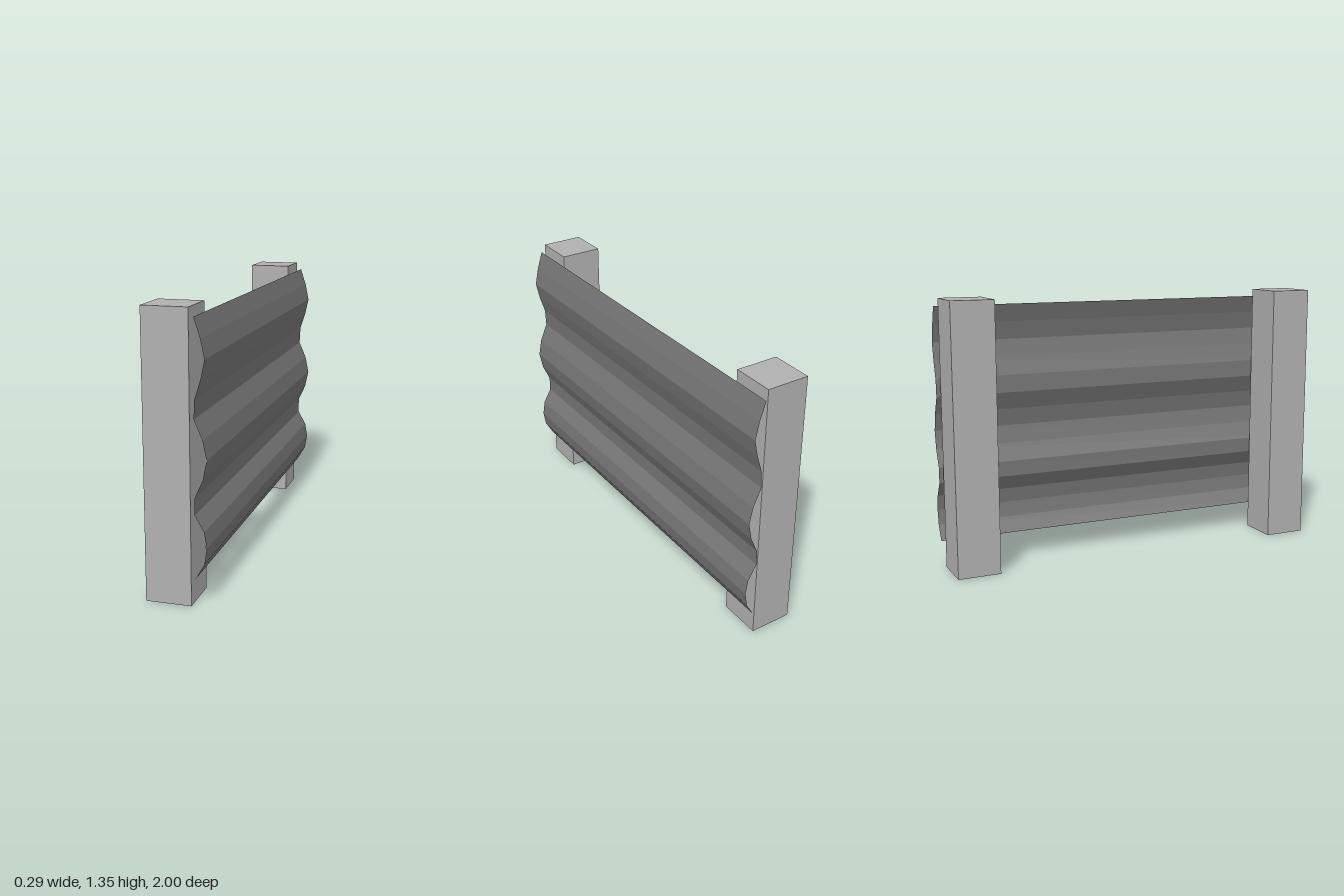
import * as THREE from 'three';

export function createModel() {
  const group = new THREE.Group();
  const concrete = new THREE.MeshStandardMaterial({ color: 0xb0b0b0 });
  concrete.name = 'light grey post';
  const metal = new THREE.MeshStandardMaterial({ color: 0x767676, side: THREE.DoubleSide, flatShading: true });
  metal.name = 'dark grey sheet';

  // Two square posts
  for (const [name, z] of [['frontPost', 0.891], ['backPost', -0.874]]) {
    const post = new THREE.Mesh(new THREE.BoxGeometry(0.217, 1.35, 0.217), concrete);
    post.name = name;
    post.position.set(-0.04, 0.675, z);
    group.add(post);
  }

  // Corrugated sheet: wavy profile (x, y), bottom to top, stretched along z
  const profile = [
    [0.088, 0.132], [0.131, 0.207], [0.143, 0.282], [0.131, 0.357], [0.088, 0.432],
    [0.088, 0.51], [0.127, 0.597], [0.145, 0.686], [0.127, 0.775], [0.088, 0.865],
    [0.092, 0.953], [0.12, 1.042], [0.139, 1.13], [0.12, 1.22], [0.091, 1.31],
  ];
  const sheet = new THREE.PlaneGeometry(2, 1, 1, profile.length - 1);
  const pos = sheet.attributes.position;
  for (let i = 0; i < pos.count; i++) {
    const [x, y] = profile[profile.length - 1 - Math.floor(i / 2)];
    pos.setXYZ(i, x, y, i % 2 ? -1 : 1);
  }
  const flat = sheet.toNonIndexed();
  flat.computeVertexNormals();
  const panel = new THREE.Mesh(flat, metal);
  panel.name = 'corrugatedPanel';
  group.add(panel);

  return group;
}
